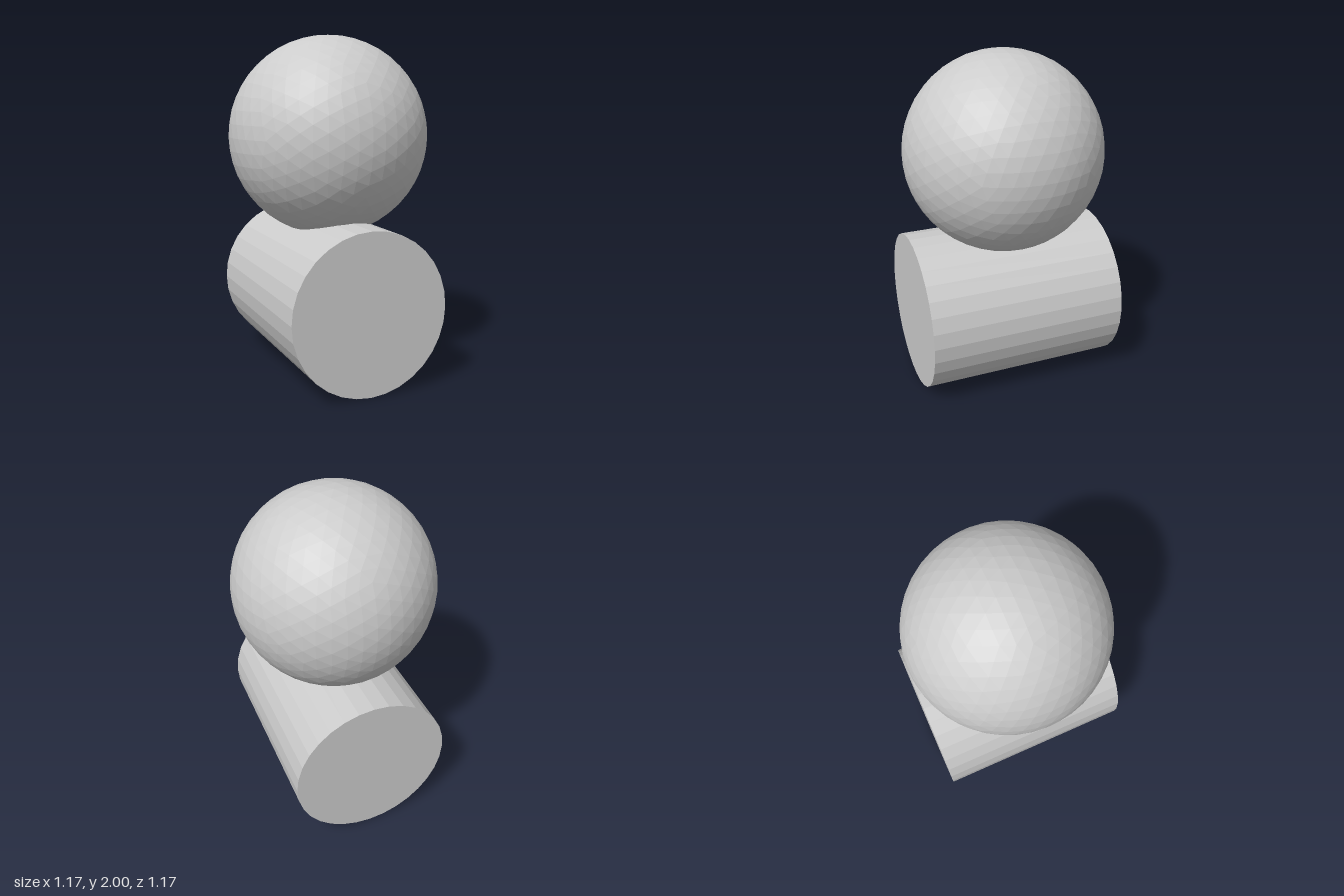
import * as THREE from 'three';

// Sphere made by repeatedly halving the edges of an icosahedron
function icosphere(radius, levels) {
  let geometry = new THREE.IcosahedronGeometry(radius, 0);
  for (let i = 0; i < levels; i++) {
    const points = Array.from(geometry.attributes.position.array);
    const corners = Array.from({ length: points.length / 3 }, (_, k) => k);
    geometry = new THREE.PolyhedronGeometry(points, corners, radius, 1);
  }
  geometry.computeVertexNormals(); // one normal per facet
  return geometry;
}

export function createModel() {
  const group = new THREE.Group();
  const material = new THREE.MeshStandardMaterial({ color: 0xcccccc, flatShading: true });
  const ballRadius = 0.586;
  const rollerRadius = 0.469;

  // Roller lying along z on the ground
  const roller = new THREE.Mesh(
    new THREE.CylinderGeometry(rollerRadius, rollerRadius, ballRadius * 2, 32).rotateX(Math.PI / 2),
    material
  );
  roller.name = 'roller';
  roller.position.y = rollerRadius;

  // Faceted ball sunk slightly into the roller
  const ball = new THREE.Mesh(icosphere(ballRadius, 3), material);
  ball.name = 'ball';
  ball.position.y = 2 - ballRadius;

  group.add(roller, ball);
  return group;
}
